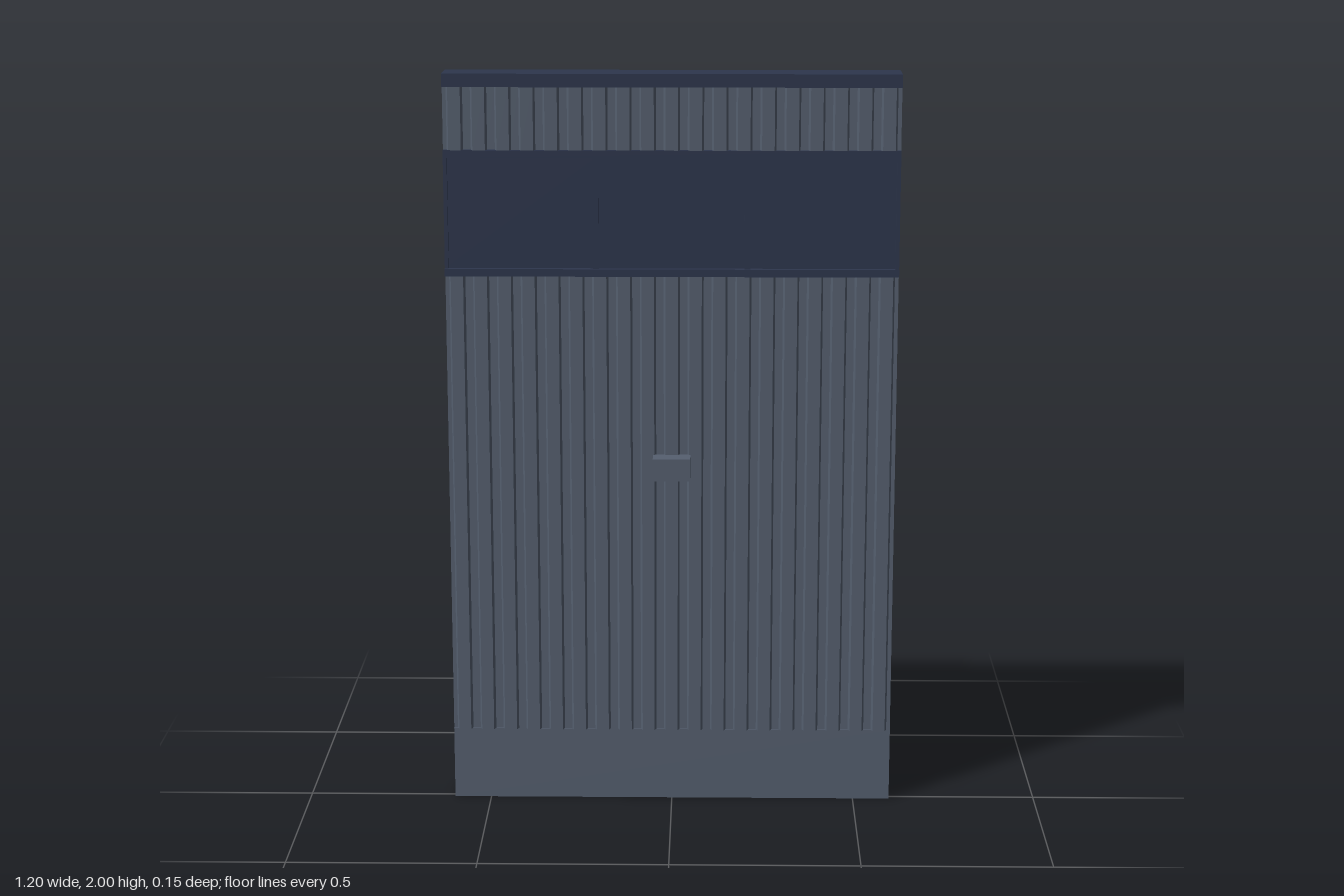
import * as THREE from 'three';

export function createModel() {
  const group = new THREE.Group();
  const grey = new THREE.MeshStandardMaterial({ name: 'greySteel', color: 0x566070 });
  const sheet = new THREE.MeshStandardMaterial({ name: 'greySheet', color: 0x566070, side: THREE.DoubleSide });
  const navy = new THREE.MeshStandardMaterial({ name: 'navy', color: 0x2d364d });
  const green = new THREE.MeshStandardMaterial({ name: 'greenFrame', color: 0x425a45 });

  // Box given by its extents on each axis
  function box(name, mat, [x0, x1], [y0, y1], [z0, z1]) {
    const mesh = new THREE.Mesh(new THREE.BoxGeometry(x1 - x0, y1 - y0, z1 - z0), mat);
    mesh.position.set((x0 + x1) / 2, (y0 + y1) / 2, (z0 + z1) / 2);
    mesh.name = name;
    group.add(mesh);
  }

  // Corrugated sheet: trapezoid ribs across the width, open at the ends
  function corrugated(name, y0, y1) {
    const ribs = 19, pitch = 1.2 / ribs, low = 0.013, high = 0.025;
    const line = [[-0.6, low]];
    for (let i = 0; i < ribs; i++) {
      const x = -0.6 + i * pitch;
      [[0.16, low], [0.24, high], [0.76, high], [0.84, low]].forEach(([f, z]) => line.push([x + f * pitch, z]));
    }
    line.push([0.6, low]);
    const pos = [];
    for (let i = 0; i < line.length - 1; i++) {
      const [ax, az] = line[i], [bx, bz] = line[i + 1];
      pos.push(ax, y0, az, bx, y0, bz, bx, y1, bz, ax, y0, az, bx, y1, bz, ax, y1, az);
    }
    const geo = new THREE.BufferGeometry();
    geo.setAttribute('position', new THREE.Float32BufferAttribute(pos, 3));
    geo.computeVertexNormals();
    const mesh = new THREE.Mesh(geo, sheet);
    mesh.name = name;
    group.add(mesh);
  }

  // Flat inner lining
  function lining(name, y0, y1) {
    const mesh = new THREE.Mesh(new THREE.PlaneGeometry(1.2, y1 - y0), sheet);
    mesh.position.set(0, (y0 + y1) / 2, -0.001);
    mesh.name = name;
    group.add(mesh);
  }

  const full = [-0.6, 0.6];
  box('kickBase', grey, full, [0, 0.2], [-0.073, 0.016]);
  box('topCap', navy, full, [1.965, 2], [-0.074, 0.026]);

  corrugated('lowerCladding', 0.2, 1.466);
  corrugated('upperCladding', 1.8, 1.965);
  lining('lowerLining', 0.2, 1.466);
  lining('upperLining', 1.8, 1.965);

  // Window band: rails, sill, uprights and three panes
  const depth = [-0.006, 0.024];
  box('windowTopRail', navy, full, [1.78, 1.8], depth);
  box('windowBottomRail', navy, full, [1.466, 1.486], [-0.006, 0.03]);
  [[-0.6, -0.59], [-0.208, -0.192], [0.192, 0.208], [0.59, 0.6]].forEach((x) =>
    box('windowUpright', navy, x, [1.486, 1.78], depth));
  [-0.4, 0, 0.4].forEach((x) =>
    box('windowPane', navy, [x - 0.2, x + 0.2], [1.486, 1.78], [0.006, 0.014]));

  // Rear frame: two posts and two cross rails
  [-1, 1].forEach((s) => {
    const x = [s * 0.5995, s * 0.568].sort((a, b) => a - b);
    box('sidePost', green, x, [0.001, 1.965], [-0.0738, -0.004]);
  });
  [0.71, 1.25].forEach((y) =>
    box('crossRail', green, [-0.568, 0.568], [y - 0.018, y + 0.018], [-0.035, -0.002]));

  // Handle on the front
  box('handle', grey, [-0.05, 0.05], [0.92, 0.98], [0.02, 0.074]);

  return group;
}
